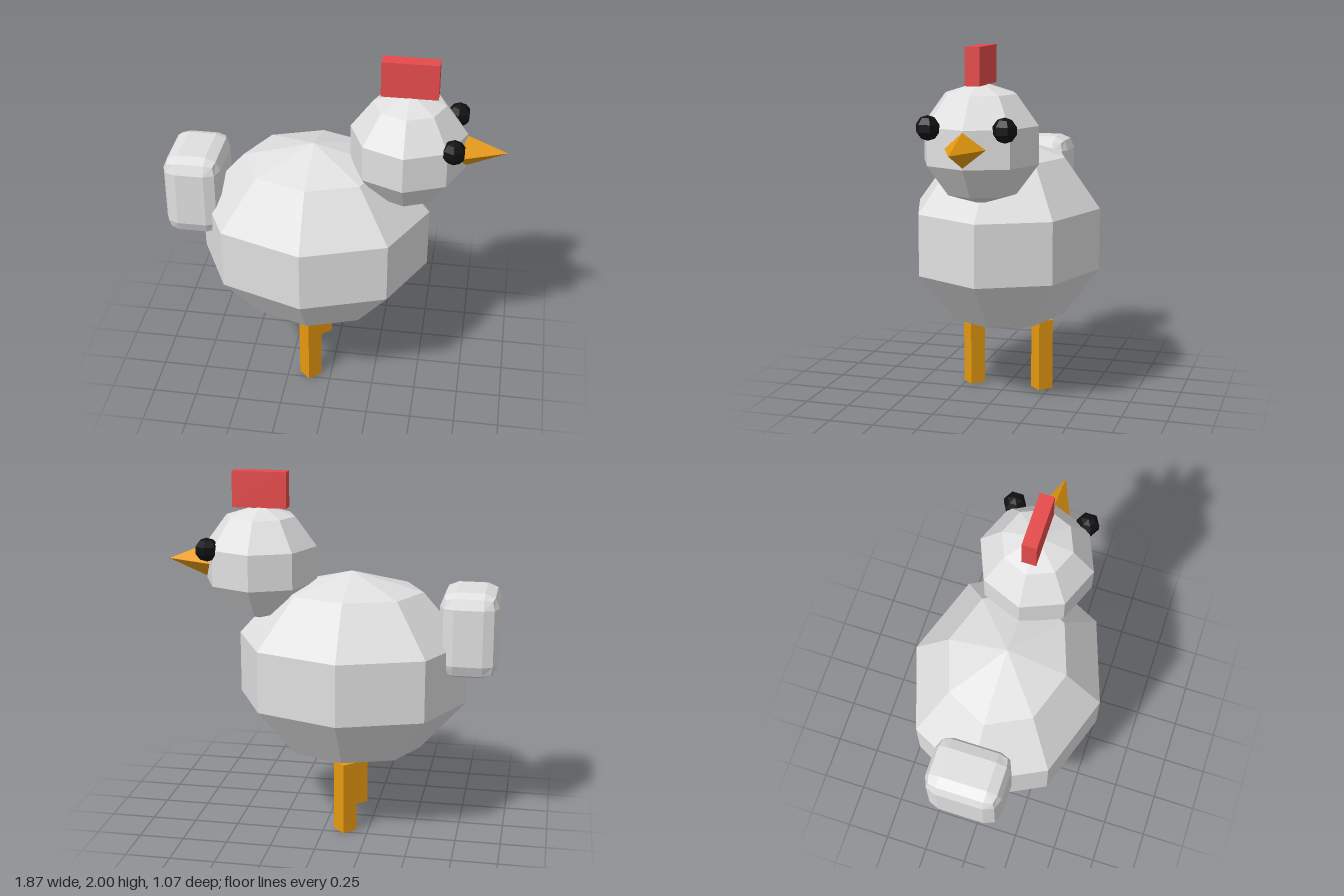
import * as THREE from 'three';
import { RoundedBoxGeometry } from 'three/addons/geometries/RoundedBoxGeometry.js';

function material(name, color) {
  const m = new THREE.MeshStandardMaterial({ color, flatShading: true });
  m.name = name;
  return m;
}

export function createModel() {
  const group = new THREE.Group();
  group.name = 'chicken';
  const feathers = material('paleGrey', 0xe0e0e0);
  const orange = material('orange', 0xffaa11);
  const red = material('red', 0xe64b4b);
  const black = material('black', 0x111111);

  function add(name, geometry, mat, x, y, z) {
    const mesh = new THREE.Mesh(geometry, mat);
    mesh.name = name;
    mesh.position.set(x, y, z);
    group.add(mesh);
    return mesh;
  }

  // Faceted body and head
  const body = new THREE.SphereGeometry(0.563, 8, 5).scale(1.205, 0.995, 1);
  add('body', body, feathers, -0.12, 0.902, 0);
  const head = new THREE.SphereGeometry(0.332, 8, 5).scale(1, 0.98, 1);
  add('head', head, feathers, 0.395, 1.49, 0);

  // Upright tail block with softened edges
  add('tail', new RoundedBoxGeometry(0.32, 0.475, 0.42, 1, 0.08), feathers, -0.782, 1.158, 0);

  // Comb
  add('comb', new THREE.BoxGeometry(0.305, 0.2, 0.08), red, 0.394, 1.9, 0);

  // Four-sided beak pointing along +x
  const beak = new THREE.ConeGeometry(0.13, 0.313, 4).rotateZ(-Math.PI / 2);
  add('beak', beak, orange, 0.7735, 1.49, 0);

  // Mirrored eyes and legs
  const eye = new THREE.SphereGeometry(0.066, 6, 5).rotateY(Math.PI / 2);
  const leg = new THREE.CylinderGeometry(0.064, 0.064, 0.41, 4);
  for (const side of [1, -1]) {
    const label = side > 0 ? 'Front' : 'Back';
    add('eye' + label, eye, black, 0.65, 1.592, side * 0.205);
    add('leg' + label, leg, orange, -0.12, 0.205, side * 0.205);
  }
  return group;
}
